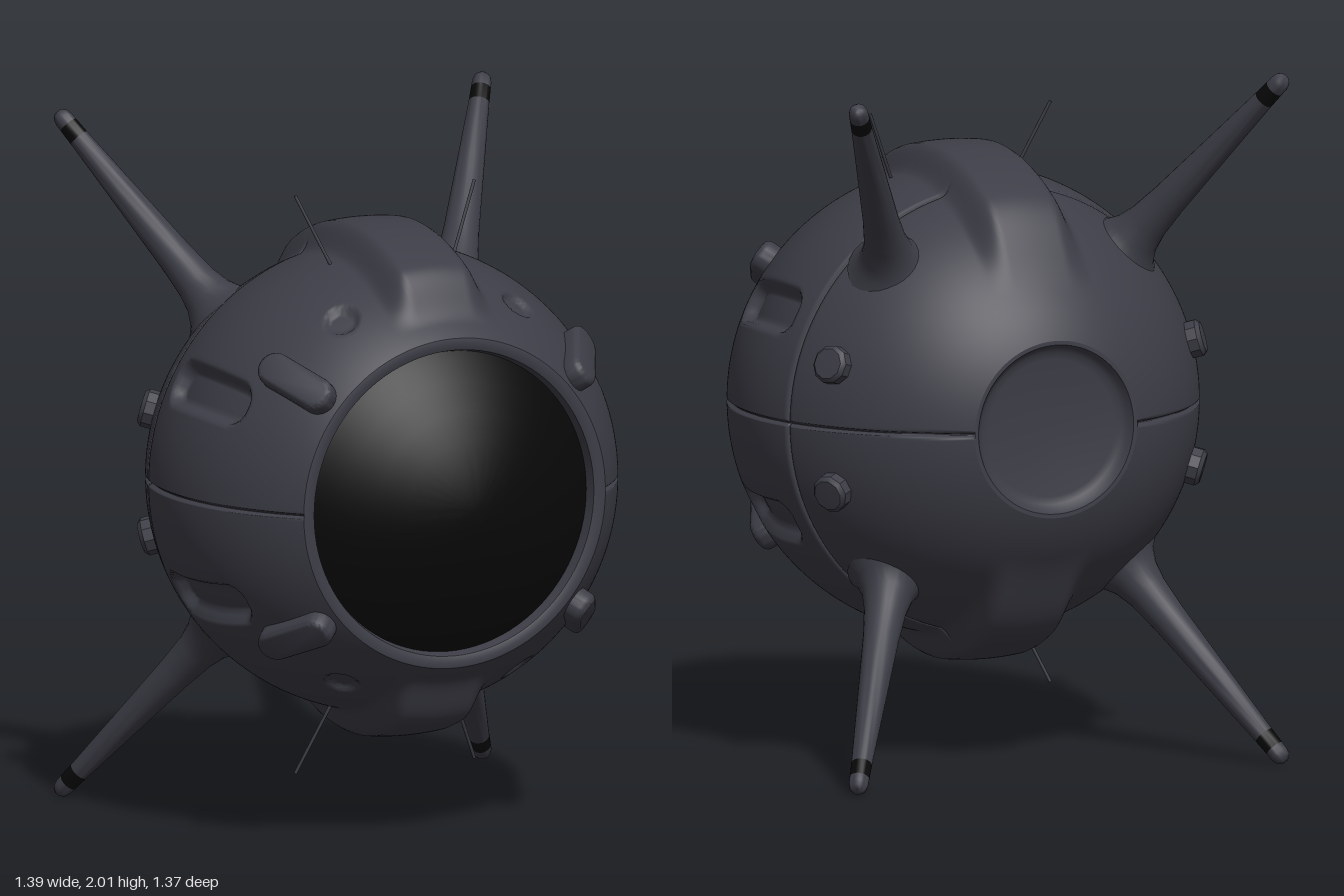
import * as THREE from 'three';
import { toCreasedNormals } from 'three/addons/utils/BufferGeometryUtils.js';

const R = 0.68, CENTRE = new THREE.Vector3(0, 1, 0.06);
const FRONT_Z = 0.54, BACK_Z = -0.57, SEAM_Z = -0.14;
const hullMat = new THREE.MeshStandardMaterial({ color: 0x3d3d47 });
const blackMat = new THREE.MeshStandardMaterial({ color: 0x080808 });
const smooth = THREE.MathUtils.smoothstep;
const V = (x, y, z) => new THREE.Vector3(x, y, z);

function mesh(name, geometry, material = hullMat) {
  const m = new THREE.Mesh(geometry, material);
  m.name = name;
  return m;
}

function lathe(points, segments, crease = 0.6) {
  const g = new THREE.LatheGeometry(points.map(([r, h]) => new THREE.Vector2(r, h)), segments);
  return toCreasedNormals(g, crease);
}

// Lathe whose axis runs along z through the hull centre
function axialLathe(name, points, material) {
  const m = mesh(name, lathe(points, 96).rotateX(Math.PI / 2), material);
  m.position.y = 1;
  return m;
}

// Hull radius in one direction: ridges, pockets, dimples and panel seams
function hullRadius(dir) {
  const x = Math.abs(dir.x) * R, y = Math.abs(dir.y) * R, z = dir.z * R + CENTRE.z;
  // ridge over the top and bottom
  const along = (1 - smooth(z, 0.36, 0.5)) * smooth(z, -0.5, -0.28);
  const across = (1 - smooth(x, 0.085, 0.17)) * smooth(y, 0.2, 0.3);
  const ridge = along * across;
  // rounded slot in each side quarter
  const a = Math.abs(R * (Math.atan2(y, x) - 0.476));
  const qz = Math.max(Math.abs(z - 0.125) - 0.14, 0), qa = Math.max(a - 0.012, 0);
  const slot = 1 - smooth(Math.hypot(qz, qa) - 0.05, -0.014, 0.012);
  // small round dimple beside the ridge
  const d = Math.hypot(x - 0.28, y - 0.528, z - 0.375);
  const dimple = 1 - smooth(d, 0.038, 0.054);
  // panel seams
  const ring = (1 - smooth(Math.abs(z - SEAM_Z), 0.002, 0.008)) * (1 - smooth(ridge, 0, 0.5));
  const equator = 1 - smooth(y, 0.002, 0.008);
  return R + 0.07 * ridge - 0.04 * slot - 0.016 * dimple - 0.013 * Math.max(ring, equator);
}

// Evenly spaced samples with extra ones packed around the seams
function samples(from, to, n, seams) {
  const list = Array.from({ length: n + 1 }, (_, i) => from + (to - from) * i / n);
  const kept = list.filter(t => seams.every(s => Math.abs(t - s) > 0.016));
  for (const s of seams) for (const o of [-0.013, -0.008, -0.003, 0, 0.003, 0.008, 0.013]) kept.push(s + o);
  return kept.sort((p, q) => p - q);
}

function hullGeometry() {
  const polar = z => Math.acos((z - CENTRE.z) / R);
  const thetas = samples(polar(FRONT_Z), polar(BACK_Z), 140, [polar(SEAM_Z)]);
  const phis = samples(-Math.PI / 2, Math.PI * 1.5, 380, [0, Math.PI]).slice(0, -1);
  const n = phis.length, pos = [], index = [];
  thetas.forEach((t, i) => phis.forEach((p, j) => {
    const dir = V(Math.sin(t) * Math.cos(p), Math.sin(t) * Math.sin(p), Math.cos(t));
    const v = dir.clone().multiplyScalar(hullRadius(dir)).add(CENTRE);
    pos.push(v.x, v.y, v.z);
    if (i === thetas.length - 1) return;
    const k = (j + 1) % n, a = i * n + j, b = a + n, c = i * n + k, d = c + n;
    index.push(a, b, c, b, d, c);
  }));
  const g = new THREE.BufferGeometry();
  g.setAttribute('position', new THREE.Float32BufferAttribute(pos, 3));
  g.setIndex(index);
  g.computeVertexNormals();
  return g;
}

// Rounded lozenge pad, lying in xy with its long side along y
function padGeometry(halfLength, radius, depth) {
  const s = new THREE.Shape();
  s.absarc(0, halfLength - radius, radius, 0, Math.PI);
  s.absarc(0, radius - halfLength, radius, Math.PI, Math.PI * 2);
  s.closePath();
  const g = new THREE.ExtrudeGeometry(s, {
    depth, curveSegments: 10, bevelThickness: 0.02, bevelSize: 0.015, bevelSegments: 3,
  });
  return toCreasedNormals(g, 0.7);
}

export function createModel() {
  const model = new THREE.Group();
  const UP = V(0, 1, 0);

  // Hull, front rim, window and rear recess
  model.add(mesh('hull', hullGeometry()));
  model.add(axialLathe('frontRim', [[0.482, 0.54], [0.465, 0.543], [0.447, 0.536], [0.436, 0.49]]));
  model.add(axialLathe('frontWindow',
    [[0.442, 0.5], [0.41, 0.526], [0.36, 0.56], [0.28, 0.607], [0.2, 0.642], [0.12, 0.668], [0.05, 0.681], [0, 0.684]], blackMat));
  model.add(axialLathe('rearRecess',
    [[0, -0.537], [0.2, -0.537], [0.222, -0.541], [0.236, -0.553], [0.246, -0.57], [0.258, -0.57]]));

  // Shared geometries for the repeated parts
  const legGeo = lathe([[0.125, 0.015], [0.095, 0.045], [0.074, 0.085], [0.061, 0.14], [0.052, 0.24],
    [0.04, 0.48], [0.03, 0.685]], 24);
  const bandGeo = lathe([[0.03, 0.685], [0.0285, 0.735]], 24);
  const tipGeo = lathe([[0.0285, 0.735], [0.028, 0.757], [0.024, 0.773], [0.014, 0.783], [0, 0.786]], 24, 1);
  const buttonGeo = lathe([[0.056, -0.05], [0.056, 0.026], [0.045, 0.038], [0, 0.04]], 10);
  const padGeo = padGeometry(0.115, 0.036, 0.04);

  for (const sx of [1, -1]) for (const sy of [1, -1]) {
    const at = (x, y, z) => V(sx * x, 1 + sy * y, z);
    const stand = (obj, p, dir) => {
      obj.position.copy(p);
      obj.quaternion.setFromUnitVectors(UP, dir.clone().normalize());
      model.add(obj);
    };

    // Tapered leg with dark band and rounded tip
    const leg = new THREE.Group();
    leg.name = 'leg';
    leg.add(mesh('legShaft', legGeo), mesh('legBand', bandGeo, blackMat), mesh('legTip', tipGeo));
    const foot = at(0.36, 0.44, -0.22);
    stand(leg, foot, at(0.67, 0.98, -0.66).sub(foot));

    // Thin antenna
    const a0 = at(0.188, 0.625, 0.133), a1 = at(0.286, 0.845, 0.08), span = a1.clone().sub(a0);
    const antenna = mesh('antenna', new THREE.CylinderGeometry(0.005, 0.005, span.length(), 8));
    stand(antenna, a0.clone().add(a1).multiplyScalar(0.5), span);

    // Round side button
    const b = at(0.565, 0.182, -0.275);
    stand(mesh('sideButton', buttonGeo), b, b.clone().sub(CENTRE));

    // Lozenge pad beside the window, lying along the hull toward the rim
    const n = at(0.47, 0.385, 0.445).sub(CENTRE).normalize();
    const t = V(0, 0, -1).addScaledVector(n, n.z).normalize();
    const pad = mesh('frontPad', padGeo);
    pad.quaternion.setFromRotationMatrix(new THREE.Matrix4().makeBasis(t.clone().cross(n), t, n));
    pad.position.copy(CENTRE).addScaledVector(n, R - 0.02);
    model.add(pad);
  }
  return model;
}
